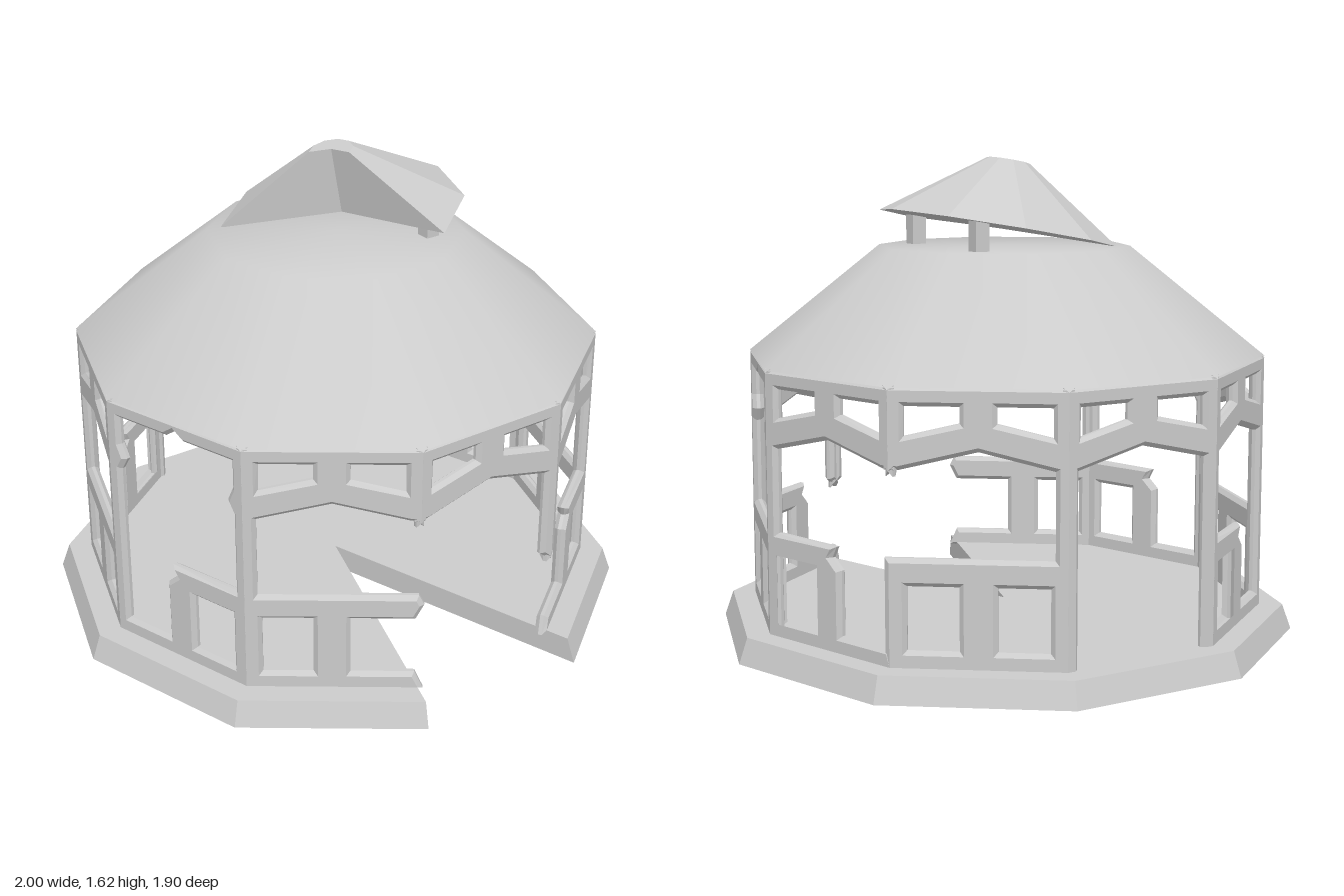
import * as THREE from 'three';

const RAD = Math.PI / 180;
const SIDE = 36 * RAD;      // one of ten sides
const HALF = 0.275;         // half width of a wall panel
const OUTER = 0.846;        // distance from the axis to the wall face
const TOP = 0.947;          // wall top, tucked under the roof
const CHAMFER = 0.014;      // worn edges of all wall pieces
const mat = new THREE.MeshStandardMaterial({ color: 0xcccccc, flatShading: true, side: THREE.DoubleSide });
const smoothMat = new THREE.MeshStandardMaterial({ color: 0xcccccc, side: THREE.DoubleSide });

function mesh(name, geometry, material = mat) {
  const m = new THREE.Mesh(geometry, material);
  m.name = name;
  return m;
}

// Solid tapered ring sector standing on y = 0, with its two cut faces closed
function brokenFrustum(name, rTop, rBottom, height, sides) {
  const g = new THREE.Group();
  g.name = name;
  const start = 18 * RAD, length = sides * SIDE;
  const body = new THREE.CylinderGeometry(rTop, rBottom, height, sides, 1, false, start, length);
  g.add(mesh(name + 'Body', body.translate(0, height / 2, 0)));
  for (const a of [start, start + length]) {
    const cut = new THREE.Shape([[0, 0], [rBottom, 0], [rTop, height], [0, height]].map(p => new THREE.Vector2(...p)));
    g.add(mesh(name + 'CutFace', new THREE.ShapeGeometry(cut).rotateY(a - Math.PI / 2)));
  }
  return g;
}

// Flat chamfered wall piece in panel coordinates; s = -1 mirrors it
function slab(name, outline, holes = [], s = 1) {
  const pts = list => list.map(([x, y]) => new THREE.Vector2(x * s, y));
  const shape = new THREE.Shape(pts(outline));
  for (const h of holes) shape.holes.push(new THREE.Path(pts(h)));
  const depth = 0.012;
  const geo = new THREE.ExtrudeGeometry(shape, {
    depth, bevelEnabled: true, bevelSegments: 1, bevelThickness: CHAMFER, bevelSize: CHAMFER,
  });
  return mesh(name, geo.translate(0, 0, OUTER - depth - CHAMFER));
}

const flip = list => list.map(([x, y]) => [-x, y]);
const pane = [[0.045, 0.125], [0.235, 0.125], [0.235, 0.355], [0.045, 0.355]];
const light = [[0.043, 0.835], [0.24, 0.79], [0.24, 0.912], [0.043, 0.912]];

function archPanel() {
  return slab('archPanel', [[-HALF, TOP], [-HALF, 0.716], [-0.245, 0.716], [0, 0.775],
    [0.245, 0.716], [HALF, 0.716], [HALF, TOP]], [light, flip(light)]);
}

// Arch fallen out: notched beam and splintered stubs remain
function brokenArch() {
  return slab('brokenArch', [[-HALF, TOP], [-HALF, 0.72], [-0.245, 0.72], [-0.225, 0.755], [-0.245, 0.8],
    [-0.245, 0.912], [-0.04, 0.912], [0, 0.94], [0.04, 0.912], [0.245, 0.912],
    [0.245, 0.8], [0.225, 0.755], [0.245, 0.72], [HALF, 0.72], [HALF, TOP]]);
}

function fullRailing() {
  return slab('railing', [[-HALF, 0.085], [HALF, 0.085], [HALF, 0.415], [-HALF, 0.415]], [pane, flip(pane)]);
}

// Railing whose end post has snapped off
function openRailing() {
  return slab('railing', [[-HALF, 0.085], [HALF, 0.085], [0.255, 0.125], [0.045, 0.125], [0.045, 0.355],
    [0.255, 0.355], [0.275, 0.395], [0.265, 0.415], [-HALF, 0.415]], [flip(pane)]);
}

// Only the half on side s is left, with the sill running on
function halfRailing(s) {
  return slab('brokenRailing', [[-HALF, 0.085], [HALF, 0.085], [HALF, 0.415], [-0.015, 0.415], [0.005, 0.385],
    [-0.04, 0.345], [-0.04, 0.125], [-0.26, 0.125]], [pane], s);
}

// Corner post half on side s, broken off at a slant above the floor if low > 0.085
function postHalf(s, low) {
  const slant = low > 0.085 ? 0.025 : 0;
  return slab('cornerPost', [[0.248, low + slant], [HALF, low], [HALF, TOP], [0.248, TOP]], [], s);
}

export function createModel() {
  const root = new THREE.Group();
  root.name = 'ruinedPavilion';

  root.add(brokenFrustum('base', 0.97, 1, 0.085, 9));

  // Walls, counted from the front towards +x: railing state per panel
  const railings = [null, () => halfRailing(1), fullRailing, () => halfRailing(-1), fullRailing,
    null, () => halfRailing(-1), fullRailing, () => halfRailing(1), openRailing];
  // Lower end of the post at the +x-going corner of each panel; three are snapped
  const postLow = [0.38, 0.085, 0.085, 0.7, 0.085, 0.085, 0.085, 0.085, 0.085, 0.7];
  railings.forEach((railing, i) => {
    const wall = new THREE.Group();
    wall.name = 'wall' + i;
    wall.add(i === 2 || i === 8 ? brokenArch() : archPanel());
    if (railing) wall.add(railing());
    wall.add(postHalf(1, postLow[i]), postHalf(-1, postLow[(i + 9) % 10]));
    wall.rotation.y = i * SIDE;
    root.add(wall);
  });

  // Main roof, softly shaded over its flat top, with a flat ceiling
  const profile = [[0.89, 0.955], [0.43, 1.325], [0, 1.325]].map(p => new THREE.Vector2(...p));
  root.add(mesh('roof', new THREE.LatheGeometry(profile, 10, 18 * RAD), smoothMat));
  const ceiling = new THREE.CircleGeometry(0.89, 10).rotateX(Math.PI / 2);
  root.add(mesh('ceiling', ceiling.translate(0, 0.955, 0)));

  // Remaining posts of the lantern and its slumped, broken cap
  for (const z of [0.215, -0.22]) {
    const post = mesh('lanternPost', new THREE.BoxGeometry(0.05, 0.115, 0.05));
    post.position.set(0.225, 1.372, z);
    root.add(post);
  }
  const cap = brokenFrustum('lanternCap', 0.073, 0.411, 0.232, 6);
  cap.position.set(0.025, 1.383, 0);
  cap.rotation.z = 10.5 * RAD;
  root.add(cap);

  return root;
}
